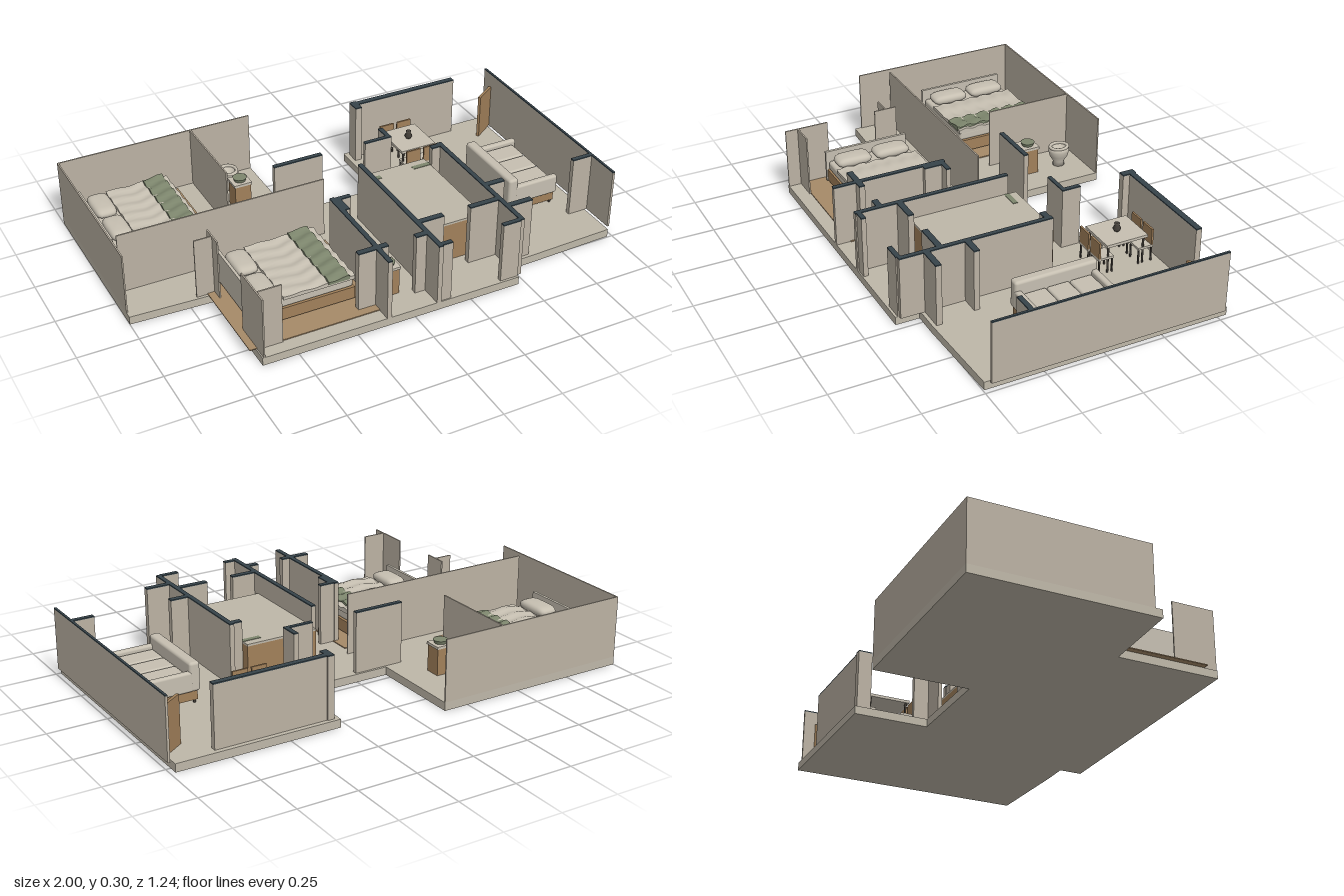
import * as THREE from 'three';
import { RoundedBoxGeometry } from 'three/addons/geometries/RoundedBoxGeometry.js';

const mat = (name, color) => {
  const m = new THREE.MeshStandardMaterial({ color });
  m.name = name;
  return m;
};

export function createModel() {
  const root = new THREE.Group();
  root.name = 'apartment';
  const wall = mat('wall plaster', 0xbbb2a3);
  const floorMat = mat('floor stone', 0xbeb7a8);
  const cap = mat('dark wall cap', 0x36434a);
  const rugMat = mat('rug tan', 0xa68a68);
  const wood = mat('wood', 0xa1805a);
  const linen = mat('linen', 0xc6bfb1);
  const green = mat('sage green', 0x7d866d);
  const dark = mat('dark metal', 0x45403a);
  const F = 0.035, TOP = 0.3;

  const add = (parent, name, geo, m, x = 0, y = 0, z = 0) => {
    const mesh = new THREE.Mesh(geo, m);
    mesh.name = name;
    mesh.position.set(x, y, z);
    parent.add(mesh);
    return mesh;
  };
  // Box given by its limits; r > 0 rounds the edges
  const box = (parent, name, m, x0, x1, y0, y1, z0, z1, r = 0) => {
    const w = x1 - x0, h = y1 - y0, d = z1 - z0;
    const geo = r ? new RoundedBoxGeometry(w, h, d, 3, r) : new THREE.BoxGeometry(w, h, d);
    return add(parent, name, geo, m, (x0 + x1) / 2, (y0 + y1) / 2, (z0 + z1) / 2);
  };
  const group = (name, x = 0, y = 0, z = 0) => {
    const g = new THREE.Group();
    g.name = name;
    g.position.set(x, y, z);
    root.add(g);
    return g;
  };

  // Floor slab
  const outline = [[-1, -0.63], [-0.14, -0.63], [-0.14, -0.22], [0.28, -0.22], [0.28, -0.54], [0.98, -0.54],
    [0.98, 0.495], [0.58, 0.51], [0.47, 0.51], [0.47, 0.61], [-0.65, 0.61], [-0.65, 0.165], [-1, 0.15]];
  const slab = new THREE.ExtrudeGeometry(
    new THREE.Shape(outline.map(([x, z]) => new THREE.Vector2(x, -z))), { depth: F, bevelEnabled: false });
  slab.rotateX(-Math.PI / 2);
  add(root, 'floorSlab', slab, floorMat);

  // Rugs
  box(root, 'rearRug', rugMat, -0.995, -0.49, F, F + 0.004, -0.61, -0.07);
  box(root, 'frontRug', rugMat, -0.675, -0.1, F, F + 0.004, 0.03, 0.55);

  // Thin plain walls of the bedrooms: x0, x1, z0, z1
  const plain = group('plainWalls');
  [[-1, -0.14, -0.63, -0.624], [-1, -0.994, -0.63, 0.12], [-0.414, -0.408, -0.63, -0.24],
    [-0.97, -0.08, -0.023, -0.017], [-0.645, -0.639, 0.1, 0.2], [-0.72, -0.64, 0.145, 0.151],
    [-0.645, -0.639, 0.42, 0.61], [-0.645, -0.54, 0.55, 0.556]]
    .forEach(([x0, x1, z0, z1]) => box(plain, 'plainWall', wall, x0, x1, F, TOP, z0, z1));

  // Thicker walls with dark tops: x0, x1, z0, z1
  const capped = group('cappedWalls');
  [[-0.22, 0, -0.21, -0.19], [0.2, 0.325, -0.205, -0.188], [0.305, 0.325, -0.27, -0.188],
    [0.3, 0.81, -0.52, -0.495], [0.3, 0.33, -0.525, -0.465], [0.99, 1, -0.52, 0.475],
    [0.9, 0.99, 0.305, 0.325], [-0.125, -0.105, 0.12, 0.61], [-0.125, -0.04, 0.125, 0.145],
    [-0.11, -0.085, 0.145, 0.22], [-0.2, -0.07, 0.49, 0.515], [0.05, 0.1, 0.49, 0.515],
    [0.095, 0.115, -0.055, 0.61], [0.1, 0.22, 0.41, 0.435], [0.1, 0.16, 0.585, 0.605],
    [0.468, 0.488, -0.055, 0.595], [0.43, 0.48, -0.05, -0.025], [0.34, 0.48, 0.41, 0.435],
    [0.48, 0.565, 0.3, 0.325], [0.48, 0.59, 0.47, 0.495], [0.39, 0.47, 0.58, 0.6]]
    .forEach(([x0, x1, z0, z1]) => {
      box(capped, 'wall', wall, x0, x1, F, TOP - 0.005, z0, z1);
      box(capped, 'wallCap', cap, x0, x1, TOP - 0.005, TOP, z0, z1);
    });

  // Beds, head towards -x
  const quilt = (w, d, amp) => {
    const geo = new THREE.BoxGeometry(w, 0.02, d, 24, 1, 24);
    const p = geo.attributes.position;
    for (let i = 0; i < p.count; i++) {
      const x = p.getX(i), z = p.getZ(i);
      if (p.getY(i) > 0) p.setY(i, 0.008 + amp * Math.sin(z * 95 + Math.sin(x * 30)) + amp * 0.5 * Math.sin(x * 60));
    }
    geo.computeVertexNormals();
    return geo;
  };
  const bed = (name, x, z, w, d) => {
    const g = group(name, x, F, z);
    box(g, 'bedBase', wood, 0.01, w, 0.012, 0.065, -d / 2, d / 2);
    box(g, 'mattress', linen, 0.015, w - 0.005, 0.065, 0.108, -d / 2 + 0.004, d / 2 - 0.004, 0.012);
    box(g, 'headboard', linen, 0, 0.012, 0.01, 0.15, -d / 2 - 0.005, d / 2 + 0.005);
    add(g, 'quilt', quilt(w - 0.12, d, 0.004), linen, 0.12 + (w - 0.12) / 2, 0.112, 0);
    add(g, 'throwBlanket', quilt(0.09, d + 0.006, 0.005), green, w * 0.79 + 0.02, 0.121, 0);
    for (const s of [-1, 1]) {
      const pillow = add(g, 'pillow', new THREE.SphereGeometry(1, 20, 12), linen, 0.068, 0.125, s * d * 0.24);
      const p = pillow.geometry.attributes.position;
      const sq = (v) => Math.sign(v) * Math.pow(Math.abs(v), 0.45);
      for (let i = 0; i < p.count; i++) {
        p.setXYZ(i, sq(p.getX(i)) * 0.045, p.getY(i) * 0.022, sq(p.getZ(i)) * d * 0.215);
      }
      pillow.geometry.computeVertexNormals();
    }
  };
  bed('rearBed', -0.95, -0.36, 0.39, 0.38);
  bed('frontBed', -0.605, 0.265, 0.425, 0.365);

  // Bathroom fittings
  const toilet = (x, z) => {
    const g = group('toilet', x, F, z);
    const bowl = [[0, 0], [0.024, 0], [0.022, 0.02], [0.036, 0.045], [0.042, 0.07], [0.04, 0.085],
      [0.028, 0.085], [0.02, 0.06], [0, 0.055]].map(([r, y]) => new THREE.Vector2(r, y));
    add(g, 'bowl', new THREE.LatheGeometry(bowl, 28), linen).scale.z = 1.12;
    const seat = add(g, 'seat', new THREE.TorusGeometry(0.033, 0.007, 8, 28), linen, 0, 0.088, 0);
    seat.rotation.x = Math.PI / 2;
    seat.scale.y = 1.18;
  };
  toilet(-0.287, -0.52);
  toilet(-0.035, 0.25);

  const vanity = (x, z) => {
    const g = group('vanity', x, F, z);
    box(g, 'cabinet', wood, -0.036, 0.036, 0, 0.115, -0.034, 0.034);
    box(g, 'counter', linen, -0.04, 0.04, 0.115, 0.126, -0.038, 0.038);
    add(g, 'basin', new THREE.CylinderGeometry(0.03, 0.024, 0.016, 24), green, 0, 0.133, 0);
  };
  vanity(-0.3, -0.37);
  vanity(-0.04, 0.45);

  // Large wooden unit in the middle room
  box(root, 'centralUnit', wood, 0.116, 0.43, F, 0.205, -0.09, 0.38);
  box(root, 'centralUnitTop', floorMat, 0.116, 0.43, 0.205, 0.214, -0.09, 0.38);
  for (const x of [0.118, 0.35]) box(root, 'unitInlay', green, x, x + 0.08, 0.214, 0.216, -0.057, -0.035);

  // Sofa, facing +x
  const sofa = group('sofa');
  box(sofa, 'sofaBase', wood, 0.67, 0.89, 0.05, 0.09, -0.12, 0.215);
  box(sofa, 'sofaSeat', linen, 0.665, 0.9, 0.088, 0.13, -0.125, 0.22, 0.008);
  box(sofa, 'sofaBack', linen, 0.66, 0.705, 0.088, 0.21, -0.13, 0.225, 0.012);
  for (const z of [-0.13, 0.197]) box(sofa, 'sofaArm', linen, 0.69, 0.9, 0.088, 0.172, z, z + 0.028, 0.01);
  for (let i = 0; i < 3; i++) {
    const z = -0.1 + i * 0.099;
    box(sofa, 'seatCushion', linen, 0.705, 0.88, 0.125, 0.158, z, z + 0.096, 0.01);
  }
  for (const x of [0.68, 0.88]) for (const z of [-0.11, 0.205])
    add(sofa, 'sofaFoot', new THREE.CylinderGeometry(0.007, 0.005, 0.016, 10), dark, x, 0.043, z);

  // Dining table with four chairs and a vase
  const dining = group('diningSet', 0.495, F, -0.34);
  box(dining, 'tableTop', linen, -0.083, 0.083, 0.12, 0.132, -0.093, 0.093);
  for (const sx of [-1, 1]) for (const sz of [-1, 1]) {
    add(dining, 'tableLeg', new THREE.CylinderGeometry(0.005, 0.004, 0.12, 8), dark, sx * 0.07, 0.06, sz * 0.08);
    const c = new THREE.Group();
    c.name = 'chair';
    c.position.set(sx * 0.042, 0, sz * 0.098);
    if (sz < 0) c.rotation.y = Math.PI;
    dining.add(c);
    box(c, 'chairSeat', linen, -0.034, 0.034, 0.064, 0.074, -0.042, 0.026);
    box(c, 'chairBack', wood, -0.034, 0.034, 0.07, 0.145, 0.018, 0.026);
    for (const x of [-0.029, 0.029]) for (const z of [-0.037, 0.021])
      box(c, 'chairLeg', dark, x - 0.003, x + 0.003, 0, 0.066, z - 0.003, z + 0.003);
  }
  const vase = [[0, 0], [0.011, 0], [0.017, 0.012], [0.009, 0.027], [0.012, 0.034], [0, 0.032]];
  add(dining, 'vase', new THREE.LatheGeometry(vase.map(([r, y]) => new THREE.Vector2(r, y)), 20), dark, 0, 0.132, 0);

  // Entrance door standing ajar
  const door = add(root, 'door', new THREE.BoxGeometry(0.115, 0.2, 0.012), wood, 0.94, F + 0.1, -0.433);
  door.rotation.y = 0.6;

  return root;
}
